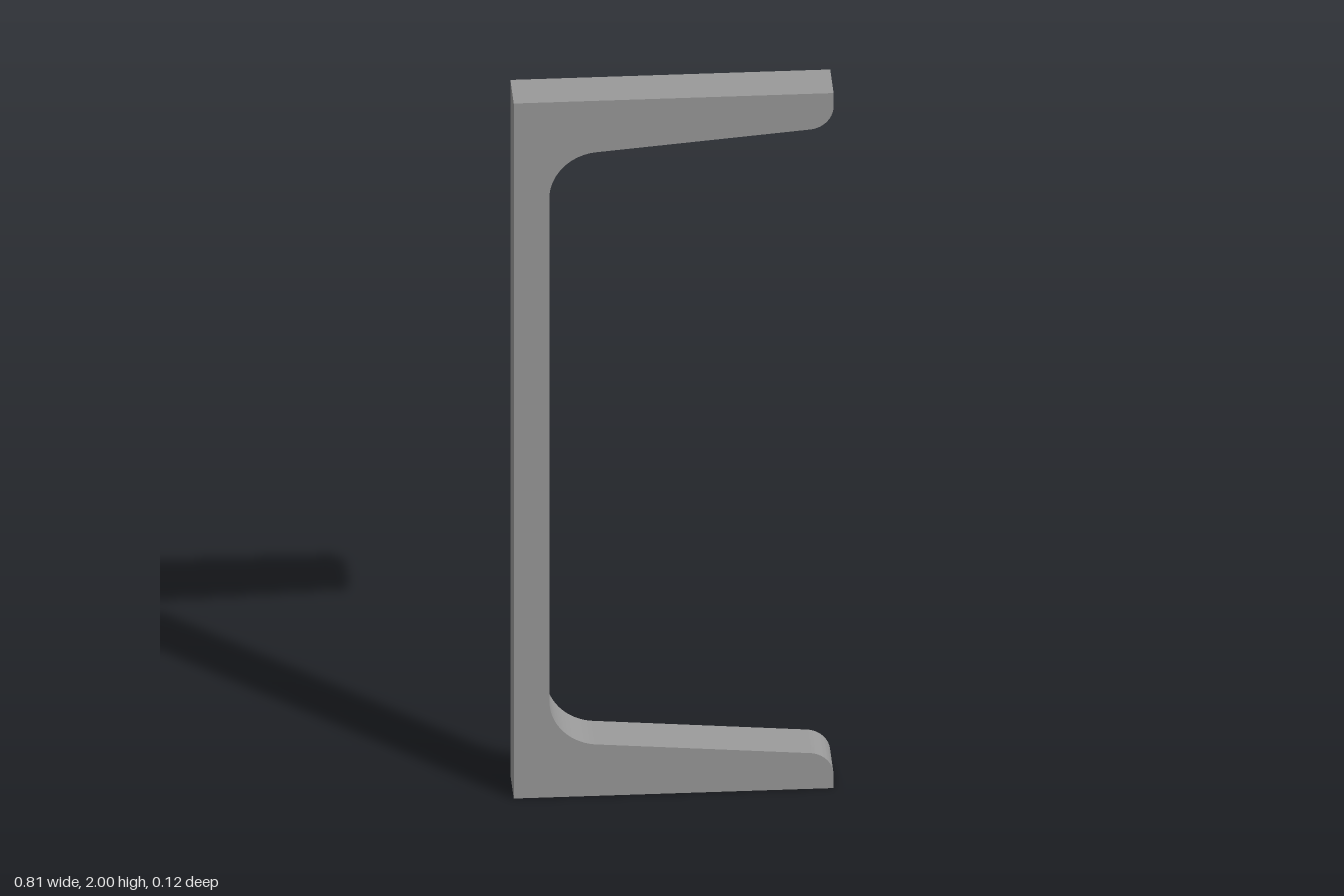
import * as THREE from 'three';
import { toCreasedNormals } from 'three/addons/utils/BufferGeometryUtils.js';

const HALF_WIDTH = 0.405, HEIGHT = 2, DEPTH = 0.125;
const WEB_INNER = -0.315;                       // inner face of the web
const ROOT_R = 0.13, ROOT_Y = 0.2775;           // fillet between web and flange
const TOE_R = 0.065, TOE_Y = 0.038;             // rounded flange tip

export function createModel() {
  const steel = new THREE.MeshStandardMaterial({ color: 0x999999 });
  steel.name = 'steel grey';

  const rootX = WEB_INNER + ROOT_R;
  const toeX = HALF_WIDTH - TOE_R;
  // Taper angle that makes the flange face tangent to both arcs
  const dx = toeX - rootX, dy = TOE_Y - ROOT_Y;
  const taper = Math.acos((ROOT_R + TOE_R) / Math.hypot(dx, dy)) - Math.atan2(dx, -dy);
  const tilt = Math.abs(taper);
  const q = Math.PI / 2;

  // Channel cross-section, counter-clockwise from the lower outer corner
  const profile = new THREE.Shape();
  profile.moveTo(-HALF_WIDTH, 0);
  profile.lineTo(HALF_WIDTH, 0);
  profile.absarc(toeX, TOE_Y, TOE_R, 0, q - tilt, false);
  profile.absarc(rootX, ROOT_Y, ROOT_R, 3 * q - tilt, 2 * q, true);
  profile.absarc(rootX, HEIGHT - ROOT_Y, ROOT_R, 2 * q, q + tilt, true);
  profile.absarc(toeX, HEIGHT - TOE_Y, TOE_R, tilt - q, 0, false);
  profile.lineTo(HALF_WIDTH, HEIGHT);
  profile.lineTo(-HALF_WIDTH, HEIGHT);
  profile.closePath();

  // Short slice of the channel, centred on z
  const geometry = new THREE.ExtrudeGeometry(profile, {
    depth: DEPTH, bevelEnabled: false, curveSegments: 16,
  });
  geometry.translate(0, 0, -DEPTH / 2);

  const channel = new THREE.Mesh(toCreasedNormals(geometry, 0.5), steel);
  channel.name = 'channelSection';

  const model = new THREE.Group();
  model.name = 'steelChannel';
  model.add(channel);
  return model;
}
